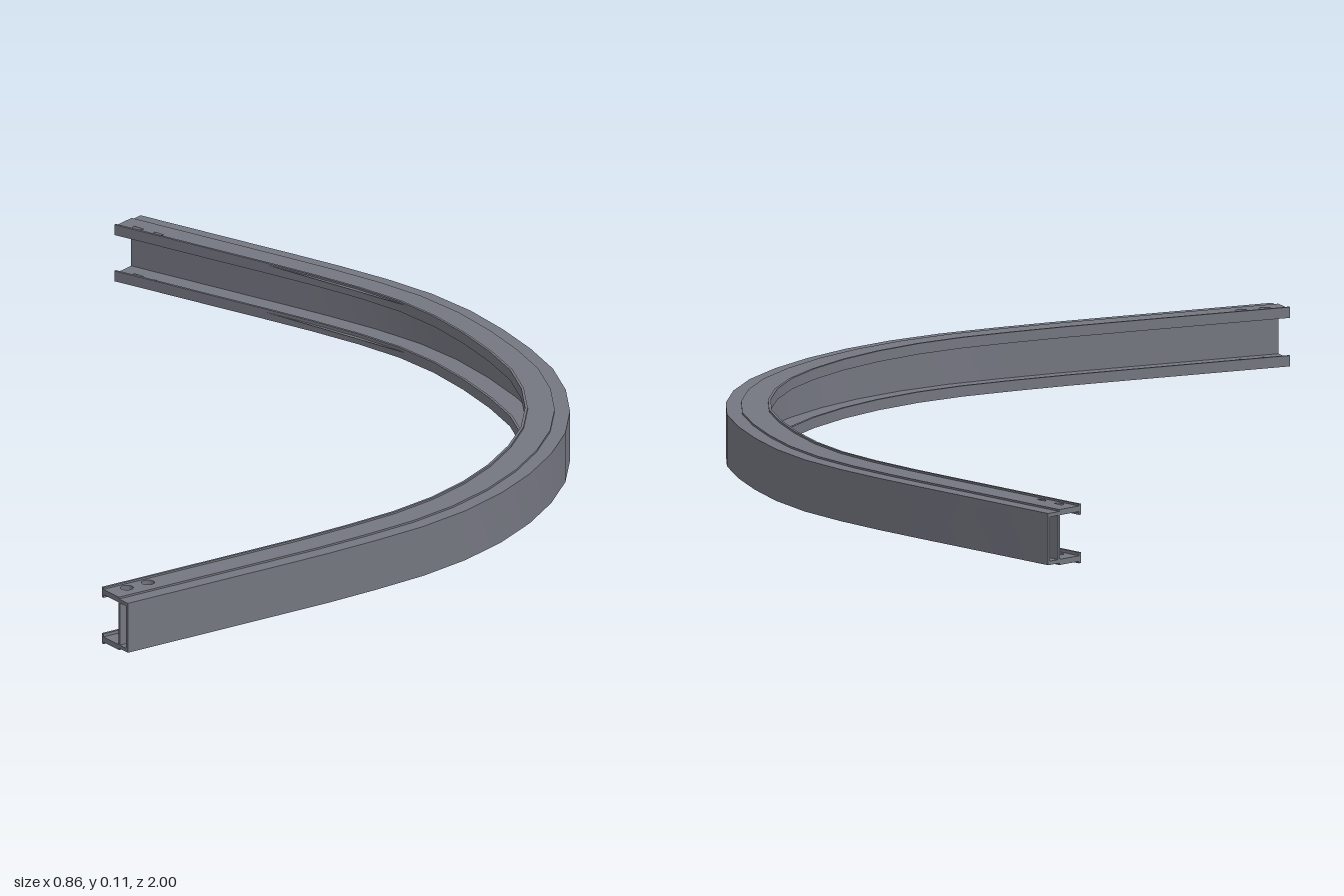
import * as THREE from 'three';
import { toCreasedNormals } from 'three/addons/utils/BufferGeometryUtils.js';

const WIDTH = 0.082;   // rail width, from inner lip (u = 0) to outer wall
const HEIGHT = 0.11;

// Plan path of the outer wall as [x, z], from the rear end to the front end
const path = new THREE.CatmullRomCurve3([
  [-0.345, -1], [-0.157, -0.863], [0.03, -0.725], [0.16, -0.614], [0.24, -0.52],
  [0.315, -0.397], [0.4, -0.2], [0.428, -0.016], [0.415, 0.15], [0.37, 0.296],
  [0.31, 0.42], [0.2, 0.566], [0.03, 0.71], [-0.178, 0.857], [-0.385, 1],
].map(([x, z]) => new THREE.Vector3(x, 0, z)), false, 'centripetal');

const SEGMENTS = 24;
const frames = Array.from({ length: SEGMENTS + 1 }, (_, i) => ({
  p: path.getPointAt(i / SEGMENTS), t: path.getTangentAt(i / SEGMENTS),
}));

// Plan point at distance u from the inner edge; shape y is -z
function planPoint({ p, t }, u, along = 0) {
  const inset = WIDTH - u;
  return new THREE.Vector2(
    p.x - t.z * inset + t.x * along,
    -(p.z + t.x * inset + t.z * along));
}

// Curved strip between two offsets and two heights, optionally drilled at both ends
function band(u0, u1, y0, y1, drilled = false) {
  const shape = new THREE.Shape([
    ...frames.map(f => planPoint(f, u0)),
    ...frames.map(f => planPoint(f, u1)).reverse(),
  ]);
  if (drilled) {
    for (const [frame, sign] of [[frames[0], 1], [frames[SEGMENTS], -1]]) {
      for (const along of [0.04, 0.087]) {
        const c = planPoint(frame, 0.022, sign * along);
        shape.holes.push(new THREE.Path().absarc(c.x, c.y, 0.012, 0, Math.PI * 2, true));
      }
    }
  }
  const geometry = new THREE.ExtrudeGeometry(shape, {
    depth: y1 - y0, bevelEnabled: false, curveSegments: 10,
  });
  geometry.rotateX(-Math.PI / 2).translate(0, y0, 0);
  return toCreasedNormals(geometry, 0.5);
}

export function createModel() {
  const model = new THREE.Group();
  model.name = 'curvedRail';
  const steel = new THREE.MeshStandardMaterial({ color: 0x747680 });
  steel.name = 'greySteel';

  function add(name, ...args) {
    const mesh = new THREE.Mesh(band(...args), steel);
    mesh.name = name;
    model.add(mesh);
  }

  // Hollow box section along the outside of the bend
  add('outerWall', 0.077, WIDTH, 0.007, 0.103);
  add('innerWeb', 0.052, 0.057, 0.007, 0.103);

  // Matching upper and lower parts
  for (const [side, flip] of [['upper', false], ['lower', true]]) {
    const addPair = (name, u0, u1, y0, y1, drilled) => add(side + name, u0, u1,
      flip ? HEIGHT - y1 : y0, flip ? HEIGHT - y0 : y1, drilled);
    addPair('BoxWall', 0.057, 0.077, 0.096, 0.103);
    addPair('Flange', 0.005, 0.054, 0.096, 0.1065, true);
    addPair('Lip', 0, 0.005, 0.09, HEIGHT);
  }
  return model;
}
